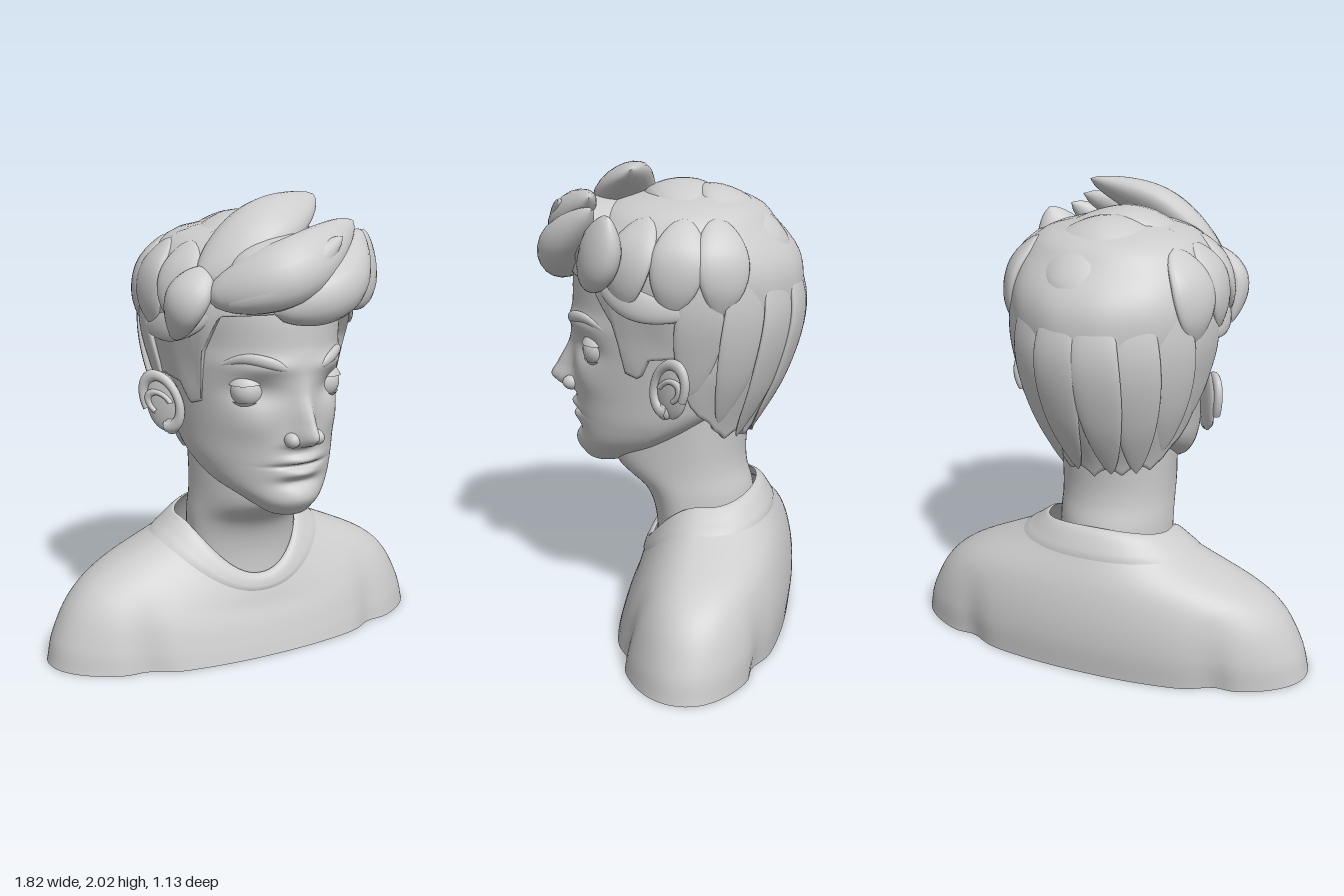
import * as THREE from 'three';

const { sin, cos, PI, max, min, exp, abs, sqrt, pow, sign } = Math;
const V = (x, y, z) => new THREE.Vector3(x, y, z);
const stone = new THREE.MeshStandardMaterial({ color: 0xcccccc, side: THREE.DoubleSide });
stone.name = 'light grey';

// smooth lookup in a table of rows [key, value, value, ...]
function lookup(rows, k) {
  k = min(max(k, rows[0][0]), rows[rows.length - 1][0]);
  let i = 0;
  while (i < rows.length - 2 && k > rows[i + 1][0]) i++;
  const slope = (n, c) => {
    const p = rows[max(n - 1, 0)], q = rows[min(n + 1, rows.length - 1)];
    return (q[c] - p[c]) / (q[0] - p[0]);
  };
  const a = rows[i], b = rows[i + 1], h = b[0] - a[0], s = (k - a[0]) / h, s2 = s * s, s3 = s2 * s;
  return a.slice(1).map((_, j) => {
    const c = j + 1;
    return (2 * s3 - 3 * s2 + 1) * a[c] + (s3 - 2 * s2 + s) * h * slope(i, c)
      + (3 * s2 - 2 * s3) * b[c] + (s3 - s2) * h * slope(i + 1, c);
  });
}

// surface closed in u (0..2PI), open in v (0..1)
function surface(fn, nu, nv) {
  const pos = [], idx = [];
  for (let j = 0; j <= nv; j++)
    for (let i = 0; i < nu; i++) pos.push(...fn((i / nu) * 2 * PI, j / nv).toArray());
  for (let j = 0; j < nv; j++)
    for (let i = 0; i < nu; i++) {
      const a = j * nu + i, b = j * nu + (i + 1) % nu;
      idx.push(a, b, b + nu, a, b + nu, a + nu);
    }
  const g = new THREE.BufferGeometry();
  g.setAttribute('position', new THREE.Float32BufferAttribute(pos, 3));
  g.setIndex(idx);
  g.computeVertexNormals();
  return g;
}

function part(parent, name, geo, at = [0, 0, 0], scale = [1, 1, 1], rot = [0, 0, 0]) {
  const m = new THREE.Mesh(geo, stone);
  m.name = name;
  m.position.set(...at);
  m.scale.set(...scale);
  m.rotation.set(...rot);
  parent.add(m);
}

// horizontal ring: angle 0 faces front; row = [halfWidth, front z, back z, widest z]
const ring = ([w, zf, zb, zc = -0.1], a, y) =>
  V(w * sin(a), y, zc + (cos(a) > 0 ? zf - zc : zc - zb) * cos(a));

// profiles: y, half width, front z, back z, and for the head the widest z
const HEAD = [
  [0.69, 0.01, 0.31, 0.26, 0.29], [0.7, 0.075, 0.355, 0.2, 0.28], [0.73, 0.125, 0.385, 0.14, 0.25],
  [0.77, 0.178, 0.405, 0.06, 0.2], [0.83, 0.25, 0.4, -0.05, 0.1], [0.92, 0.302, 0.405, -0.2, 0],
  [1.02, 0.325, 0.41, -0.33, -0.05], [1.4, 0.365, 0.42, -0.5, -0.1], [1.7, 0.33, 0.33, -0.45, -0.1],
  [1.84, 0.01, -0.05, -0.15, -0.1]];
const NECK = [[0.28, 0.25, 0.05, -0.375], [0.47, 0.25, 0.055, -0.38], [0.6, 0.25, 0.105, -0.372],
  [0.7, 0.243, 0.23, -0.345], [0.8, 0.243, 0.25, -0.34], [1.05, 0.25, 0.2, -0.37]];
const HAIR = [[0.8, 0.248, 0.2, -0.352], [0.92, 0.285, 0.3, -0.39], [1.16, 0.365, 0.37, -0.51],
  [1.32, 0.395, 0.4, -0.55], [1.53, 0.44, 0.42, -0.57], [1.65, 0.435, 0.4, -0.545],
  [1.77, 0.385, 0.33, -0.45], [1.86, 0.27, 0.2, -0.35], [1.91, 0.01, -0.09, -0.11]];
const hairPoint = (a, y) => ring(lookup(HAIR, y), a, y);

// nose: y, height, half breadth
const NOSE = [[0.98, 0, 0.06], [1.005, 0.015, 0.06], [1.03, 0.085, 0.055], [1.065, 0.118, 0.048],
  [1.12, 0.085, 0.042], [1.24, 0.018, 0.038], [1.42, 0, 0.06]];
// relief of sockets, brow, cheeks, lips and chin: height, x, y, spread x, spread y
const RELIEF = [[-0.045, 0.175, 1.24, 0.085, 0.055], [0.018, 0.16, 1.345, 0.12, 0.035],
  [0.015, 0.2, 1.1, 0.08, 0.07], [0.028, 0, 0.952, 0.085, 0.02], [-0.026, 0, 0.925, 0.1, 0.008],
  [0.024, 0, 0.893, 0.075, 0.022], [-0.02, 0, 0.85, 0.09, 0.022], [0.012, 0, 0.79, 0.08, 0.045]];
function relief(x, y) {
  const [h, s] = lookup(NOSE, y);
  return RELIEF.reduce((sum, [k, cx, cy, sx, sy]) =>
    sum + k * exp(-pow((abs(x) - cx) / sx, 2) - pow((y - cy) / sy, 2)), max(h, 0) * exp(-pow(x / s, 2)));
}
function faceZ(x, y) {
  const [w, zf, , zc] = lookup(HEAD, y);
  return zc + (zf - zc) * sqrt(max(0, 1 - (x / w) ** 2)) + relief(x, y);
}

// lower hair edge by angle from the front (0) to the nape (PI), jagged at the nape
const EDGE = [[0, 1.57], [0.77, 1.55], [1.0, 1.38], [1.06, 1.18], [1.2, 1.16], [1.3, 1.25],
  [1.57, 1.27], [1.66, 1.06], [2.05, 0.88], [PI, 0.85]];
function hairEdge(a) {
  const i = max(1, EDGE.findIndex(e => e[0] >= a - 1e-9));
  const [p, q] = [EDGE[i - 1], EDGE[i]];
  const y = p[1] + (q[1] - p[1]) * (a - p[0]) / (q[0] - p[0]);
  return a > 1.8 ? y + 0.04 * abs(sin(7 * a)) : y;
}

// tapered lock of hair, flat side against the skull
function lock(parent, name, pts, width, thick) {
  const curve = new THREE.CatmullRomCurve3(pts);
  const core = V(0, 1.4, -0.08);
  part(parent, name, surface((u, v) => {
    const c = curve.getPoint(v), t = curve.getTangent(v);
    const out = c.clone().sub(core);
    out.addScaledVector(t, -out.dot(t)).normalize();
    const side = out.clone().cross(t);
    const r = pow(max(0, sin(PI * pow(v, 0.85))), 0.65);
    return c.addScaledVector(side, cos(u) * width * r).addScaledVector(out, sin(u) * thick * r);
  }, 20, 24));
}
// lock lying on the hair surface, hanging from one height to another
function strand(parent, name, a, top, low, width, thick) {
  const pts = [0, 1, 2, 3].map(k => hairPoint(a + 0.06 - 0.04 * k, top + (low - top) * k / 3));
  lock(parent, name, pts, width, thick);
}

// shirt, hem to neckline: t, side x, side y, front z, front y, back z, back y
const SHIRT = [[0, 0.91, 0, 0.196, 0, -0.54, 0], [1, 0.88, 0.12, 0.18, 0.06, -0.553, 0.14],
  [2, 0.8, 0.27, 0.155, 0.14, -0.545, 0.27], [3, 0.67, 0.378, 0.128, 0.21, -0.515, 0.4],
  [4, 0.4, 0.505, 0.108, 0.275, -0.465, 0.51], [5, 0.31, 0.56, 0.09, 0.32, -0.415, 0.595],
  [6, 0.28, 0.585, 0.068, 0.345, -0.385, 0.625]];
function shirtPoint(a, t, lift = 0) {
  const [sx, sy, fz, fy, bz, by] = lookup(SHIRT, t);
  const c = cos(a), front = c > 0, mid = -0.19;
  const swell = k => sign(k) * pow(abs(k), 0.95);
  const x = (sx + lift) * swell(sin(a)), y = sy + ((front ? fy : by) - sy) * c * c;
  // crease between arm and chest
  const groove = 0.04 * exp(-pow((abs(x) - 0.57) / 0.07, 2)) * max(0, 1 - y / 0.34);
  const depth = (front ? fz - mid : mid - bz) + lift - groove;
  return V(x, y + lift * 0.6, mid + depth * swell(c));
}

export function createModel() {
  const model = new THREE.Group();
  model.name = 'bust';

  part(model, 'shirt', surface((a, v) => shirtPoint(a, v * 6), 120, 42));
  part(model, 'collar', surface((a, v) =>
    shirtPoint(a, 4 + 2 * v, 0.009 * pow(max(0, sin(PI * v)), 0.3)), 96, 14));
  part(model, 'neck', surface((a, v) => {
    const y = 0.28 + 0.77 * v;
    return ring(lookup(NECK, y), a, y);
  }, 56, 30));
  part(model, 'face', surface((a, v) => {
    const y = 0.69 + 1.15 * v, p = ring(lookup(HEAD, y), a, y);
    p.z += relief(p.x, y) * min(1, max(0, cos(a) * 2.5));
    return p;
  }, 120, 170));

  // paired features, built for the left and mirrored
  for (const s of [1, -1]) {
    const side = new THREE.Group();
    side.name = s > 0 ? 'leftFeatures' : 'rightFeatures';
    side.scale.x = s;
    model.add(side);

    const eye = [0.178, 1.238, 0.268];
    part(side, 'eyeball', new THREE.SphereGeometry(0.074, 28, 20), eye);
    part(side, 'upperLid', new THREE.SphereGeometry(0.082, 28, 10, 0, 2 * PI, 0, 1.15), eye, [1.05, 1, 1], [0.05, 0.15, -0.08]);
    part(side, 'lowerLid', new THREE.SphereGeometry(0.079, 28, 10, 0, 2 * PI, 2.12, PI - 2.12), eye, [1.05, 1, 1], [0, 0.15, 0]);
    part(side, 'nostrilWing', new THREE.SphereGeometry(0.034, 20, 14), [0.058, 1.045, 0.425], [0.9, 0.95, 1.2]);
    const brow = [[0.075, 1.335], [0.14, 1.365], [0.22, 1.378], [0.305, 1.325]];
    lock(side, 'eyebrow', brow.map(([x, y]) => V(x, y, faceZ(x, y) - 0.002)), 0.024, 0.016);

    const ear = new THREE.Group();
    ear.name = 'ear';
    ear.position.set(0.405, 1.142, -0.068);
    ear.rotation.set(-0.16, -0.6, -0.12);
    side.add(ear);
    part(ear, 'earShell', new THREE.SphereGeometry(1, 28, 20), [-0.012, 0, 0], [0.024, 0.13, 0.085]);
    part(ear, 'earRim', new THREE.TorusGeometry(0.08, 0.018, 12, 40, 5.2), [0.004, 0.005, 0], [1, 1.45, 1], [0, PI / 2, -0.35]);
    part(ear, 'earFold', new THREE.TorusGeometry(0.042, 0.011, 10, 28, 3.8), [0.012, -0.005, -0.005], [1, 1.5, 1], [0, PI / 2, -0.9]);
    part(ear, 'earLobe', new THREE.SphereGeometry(1, 20, 14), [-0.005, -0.105, 0.025], [0.022, 0.038, 0.035]);

    // combed strands around the sides and back
    for (let i = 0; i < 4; i++)
      strand(side, 'backStrand', 1.75 + 0.39 * i, 1.62 + 0.04 * i, max(0.87, 1.1 - 0.14 * i), 0.1, 0.022);
    for (let i = 0; i < 3; i++)
      strand(side, 'sideLock', 1.15 + 0.42 * i, 1.83, 1.45, 0.11, 0.035);
    lock(side, 'templeLock', [V(0.31, 1.58, 0.25), V(0.41, 1.5, 0.06), V(0.435, 1.47, -0.2)], 0.075, 0.03);
  }

  // short hair over the skull, tucked in at its lower edge
  const hair = new THREE.Group();
  hair.name = 'hair';
  model.add(hair);
  part(hair, 'hairCap', surface((a, v) => {
    const low = hairEdge(min(a, 2 * PI - a));
    const y = low + (1.91 - low) * max(0, (v - 0.03) / 0.97);
    const p = hairPoint(a, y);
    const k = (v === 0 ? 0.9 : 1) + 0.008 * sin(13 * a + 5 * y) * min(1, v * 6) * (1 - v);
    return V(p.x * k, y, -0.1 + (p.z + 0.1) * k);
  }, 160, 40));

  // quiff and the locks swept across the crown
  part(hair, 'quiffCore', new THREE.SphereGeometry(1, 36, 24), [0.02, 1.72, 0.29], [0.29, 0.15, 0.2]);
  lock(hair, 'upperQuiff', [V(-0.35, 1.62, 0.24), V(-0.06, 1.735, 0.42), V(0.32, 1.9, 0.27)], 0.135, 0.1);
  lock(hair, 'lowerQuiff', [V(-0.13, 1.565, 0.4), V(0.14, 1.66, 0.435), V(0.37, 1.86, 0.25)], 0.115, 0.1);
  lock(hair, 'frontQuiff', [V(-0.32, 1.6, 0.3), V(-0.1, 1.685, 0.44), V(0.16, 1.86, 0.44)], 0.08, 0.08);
  lock(hair, 'sideQuiff', [V(0.3, 1.54, 0.3), V(0.385, 1.69, 0.215), V(0.44, 1.85, 0.17)], 0.125, 0.075);
  lock(hair, 'fringeLock', [V(-0.32, 1.74, 0.2), V(-0.42, 1.6, 0.19), V(-0.43, 1.44, 0.1)], 0.1, 0.055);
  lock(hair, 'crestLock', [V(-0.36, 1.68, 0.2), V(-0.07, 1.88, 0.21), V(0.22, 2.0, 0.12)], 0.145, 0.08);
  lock(hair, 'crownLock', [V(-0.37, 1.7, 0.03), V(-0.05, 1.87, -0.03), V(0.27, 1.83, -0.12)], 0.15, 0.065);
  lock(hair, 'rearCrownLock', [V(-0.35, 1.7, -0.17), V(-0.02, 1.85, -0.24), V(0.26, 1.8, -0.27)], 0.14, 0.06);
  lock(hair, 'backLock', [V(-0.26, 1.62, -0.4), V(0.05, 1.745, -0.42), V(0.25, 1.78, -0.28)], 0.13, 0.05);
  return model;
}
